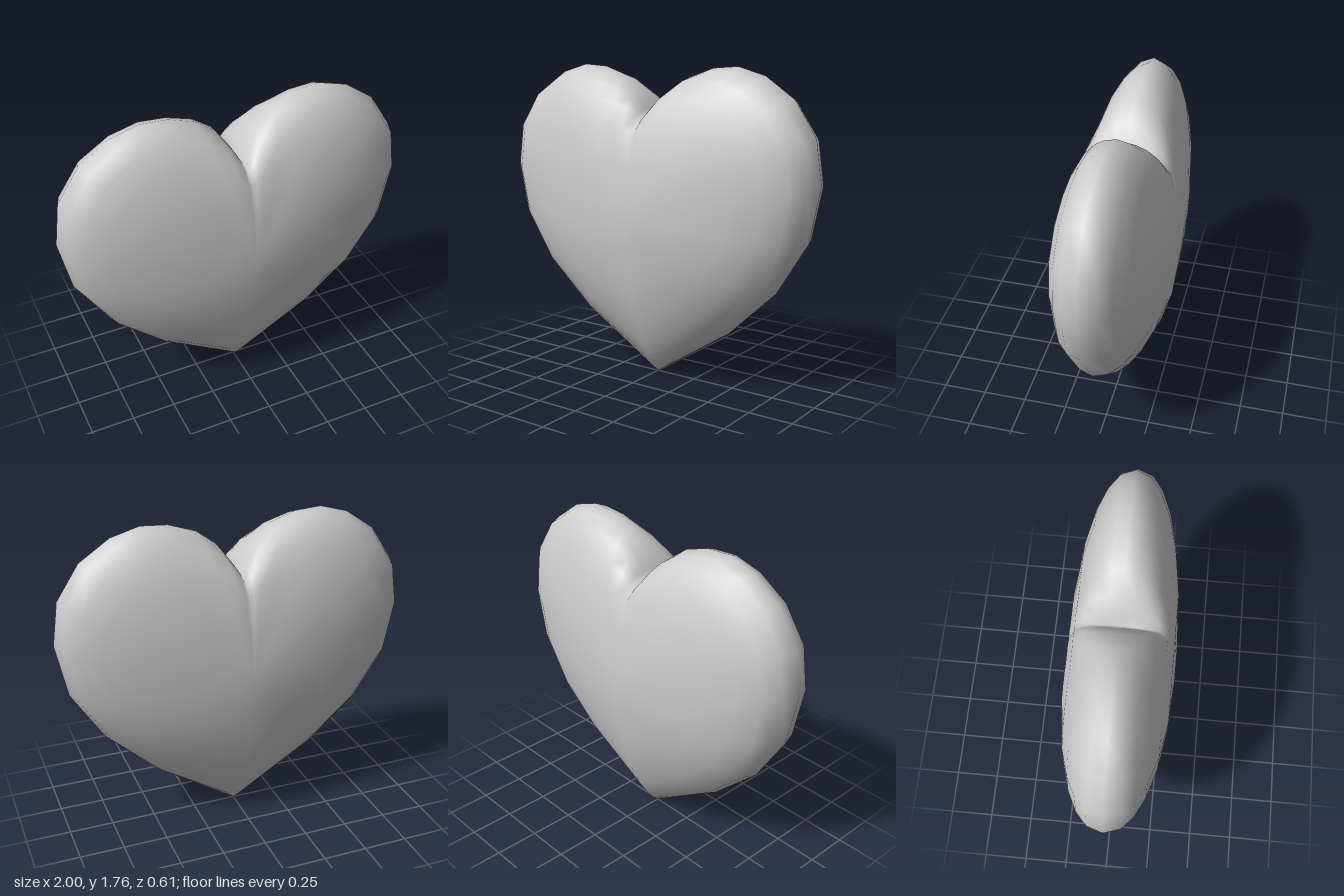
import * as THREE from 'three';

// Half outline from cleft to tip: x, y, and how sharply the rim rises (lower = rounder)
const HALF = [
  [0, 1.47, 0.52], [0.035, 1.53, 0.52], [0.1, 1.62, 0.53], [0.21, 1.7, 0.55], [0.36, 1.75, 0.56],
  [0.51, 1.76, 0.55], [0.67, 1.715, 0.52], [0.84, 1.6, 0.48], [0.965, 1.41, 0.45], [1, 1.17, 0.45],
  [0.94, 0.87, 0.46], [0.76, 0.58, 0.5], [0.475, 0.31, 0.6], [0, 0, 0.8],
];
const RINGS = [0.14, 0.39, 0.62, 0.79, 0.9, 0.97];
const CENTRE_Y = 0.92;
const DEPTH = 0.305;

function puffyHeart() {
  // Full outline, clockwise from the cleft
  const outline = [...HALF, ...HALF.slice(1, -1).reverse().map(([x, y, q]) => [-x, y, q])];
  const n = outline.length;
  const positions = [0, CENTRE_Y, DEPTH];

  // Rings run from the front centre over the rim to the back centre
  const rows = [
    ...RINGS.map((s) => [s, 1]),
    [1, 0],
    ...RINGS.slice().reverse().map((s) => [s, -1]),
  ];
  for (const [s, side] of rows) {
    for (const [x, y, q] of outline) {
      // Inner rings fill in the cleft
      const fill = y > 1.4 ? 0.22 * Math.max(0, 1 - Math.abs(x) / 0.36) ** 1.5 * Math.min(1, (1 - s) * 2.5) : 0;
      const z = side * DEPTH * Math.pow(1 - Math.pow(s, 2.15), q);
      positions.push(x * s, CENTRE_Y + (y + fill - CENTRE_Y) * s, z);
    }
  }
  const back = positions.length / 3;
  positions.push(0, CENTRE_Y, -DEPTH);

  const index = [];
  const at = (row, i) => 1 + row * n + (i % n);
  for (let i = 0; i < n; i++) {
    index.push(0, at(0, i + 1), at(0, i));
    for (let r = 0; r < rows.length - 1; r++) {
      const a = at(r, i), b = at(r, i + 1), c = at(r + 1, i + 1), d = at(r + 1, i);
      index.push(a, b, c, a, c, d);
    }
    index.push(back, at(rows.length - 1, i), at(rows.length - 1, i + 1));
  }

  const geometry = new THREE.BufferGeometry();
  geometry.setAttribute('position', new THREE.Float32BufferAttribute(positions, 3));
  geometry.setIndex(index);
  geometry.computeVertexNormals();
  return geometry;
}

export function createModel() {
  const group = new THREE.Group();
  group.name = 'heart';
  const body = new THREE.Mesh(puffyHeart(), new THREE.MeshStandardMaterial({ color: 0xcccccc }));
  body.name = 'heartBody';
  group.add(body);
  return group;
}
